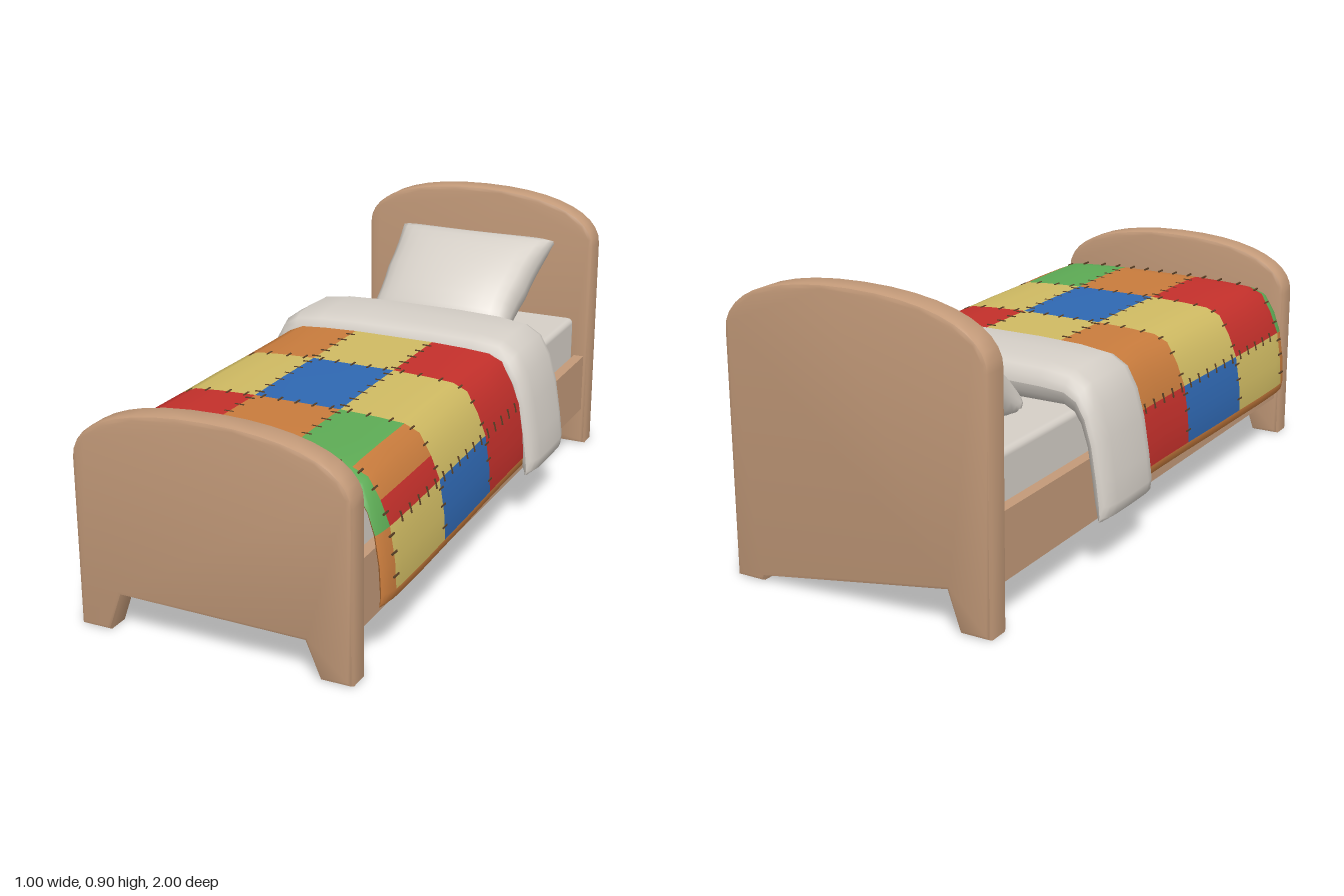
import * as THREE from 'three';
import { mergeVertices, toCreasedNormals } from 'three/addons/utils/BufferGeometryUtils.js';
import { RoundedBoxGeometry } from 'three/addons/geometries/RoundedBoxGeometry.js';

const mat = (name, color) => Object.assign(new THREE.MeshStandardMaterial({ color }), { name });

// Profile halves, centre to hem: [outerX, outerY, innerX, innerY]
const QUILT = [
  [0.135, 0.562, 0.135, 0.475], [0.25, 0.558, 0.25, 0.475], [0.33, 0.552, 0.33, 0.472],
  [0.375, 0.532, 0.36, 0.47], [0.41, 0.47, 0.385, 0.44], [0.437, 0.4, 0.4, 0.38],
  [0.452, 0.3, 0.412, 0.3], [0.456, 0.22, 0.416, 0.23], [0.448, 0.19, 0.42, 0.205], [0.435, 0.18, 0.425, 0.19],
];
const FOLD = [
  [0.13, 0.602, 0.13, 0.475], [0.27, 0.597, 0.27, 0.475], [0.36, 0.585, 0.34, 0.475],
  [0.41, 0.555, 0.37, 0.46], [0.445, 0.49, 0.39, 0.43], [0.47, 0.4, 0.41, 0.37], [0.488, 0.29, 0.425, 0.28],
  [0.498, 0.21, 0.435, 0.21], [0.492, 0.175, 0.445, 0.18], [0.47, 0.16, 0.46, 0.165],
];
const flare = (z) => 1 + 0.035 * THREE.MathUtils.smoothstep(z, -0.2, 0.8);
const mirrored = (half) => [...half.slice().reverse().map(([a, b, c, d]) => [-a, b, -c, d]), ...half];

// Cloth draped over the bed: rings of outer + inner profile; t = 0.5 closes an end
function drape(half, stations, pickMaterial, count, widen) {
  const full = mirrored(half), n = full.length, m = 2 * n;
  const pos = [], lists = Array.from({ length: count }, () => []);
  for (const [z, t] of stations) {
    const w = widen(z);
    const put = ([ox, oy, ix, iy], k) =>
      pos.push(w * THREE.MathUtils.lerp(ox, ix, k), THREE.MathUtils.lerp(oy, iy, k), z);
    full.forEach((p) => put(p, t));
    full.slice().reverse().forEach((p) => put(p, 1 - t));
  }
  for (let r = 0; r < stations.length - 1; r++) {
    for (let j = 0; j < m; j++) {
      const k = (j + 1) % m;
      const a = r * m + j, b = r * m + k, c = b + m, d = a + m;
      const mid = (axis) => (pos[a * 3 + axis] + pos[b * 3 + axis] + pos[c * 3 + axis] + pos[d * 3 + axis]) / 4;
      lists[pickMaterial(mid(0), mid(1), mid(2), j >= n - 1)].push(a, d, c, a, c, b);
    }
  }
  const g = new THREE.BufferGeometry();
  g.setAttribute('position', new THREE.Float32BufferAttribute(pos, 3));
  g.setIndex(lists.flat());
  let start = 0;
  lists.forEach((l, i) => { g.addGroup(start, l.length, i); start += l.length; });
  g.computeVertexNormals();
  return g;
}

// Patch colours: 0 red, 1 blue, 2 yellow, 3 orange, 4 green
const PATCHES = [[3, 2, 0], [2, 1, 2], [0, 3, 4]];
function patchAt(x, y, z, inner) {
  if (inner || y < 0.215) return 3;
  if (z > 0.82) return y > 0.38 ? 4 : 3;
  const row = z < 0.11 ? 0 : z < 0.48 ? 1 : 2;
  if (y < 0.4) return [0, 1, 2][row];
  if (row === 2 && x > 0.36) return y > 0.47 ? 3 : 0;
  return PATCHES[row][x < -0.135 ? 0 : x < 0.135 ? 1 : 2];
}

// Arched end board with tapered feet
function board(height, notch) {
  const s = new THREE.Shape();
  s.moveTo(0.425, 0);
  s.lineTo(0.425, height - 0.17);
  s.bezierCurveTo(0.425, height - 0.08, 0.3, height, 0, height);
  s.bezierCurveTo(-0.3, height, -0.425, height - 0.08, -0.425, height - 0.17);
  s.lineTo(-0.425, 0);
  notch.forEach(([x, y]) => s.lineTo(x, y));
  const b = 0.012;
  const g = new THREE.ExtrudeGeometry(s, {
    depth: 0.085 - 2 * b, bevelThickness: b, bevelSize: b, bevelOffset: -b, bevelSegments: 2, curveSegments: 10,
  });
  g.translate(0, 0, b - 0.0425);
  return toCreasedNormals(g, 0.6);
}

// Cushion: a flat box puffed in the middle with pulled-out corners
function pillowGeometry() {
  const box = new THREE.BoxGeometry(2, 2, 2, 14, 1, 12);
  box.deleteAttribute('uv');
  box.deleteAttribute('normal');
  const g = mergeVertices(box), p = g.attributes.position;
  for (let i = 0; i < p.count; i++) {
    const u = Math.sin(p.getX(i) * Math.PI / 2), v = Math.sin(p.getZ(i) * Math.PI / 2);
    const puff = 0.008 + 0.1 * Math.pow(Math.max(0, (1 - u * u) * (1 - v * v)), 0.36);
    const width = 0.285 - 0.03 * (1 - v * v) - 0.035 * Math.max(0, v);
    const length = 0.235 - 0.02 * (1 - u * u) * (v < 0 ? 1 : 0) - 0.03 * u * u * (v > 0 ? 1 : 0);
    p.setXYZ(i, u * width, Math.sign(p.getY(i)) * puff, v * length);
  }
  g.computeVertexNormals();
  return g;
}

export function createModel() {
  const model = new THREE.Group();
  model.name = 'bed';
  const wood = mat('wood', 0xc39a79), linen = mat('linen', 0xd5cfc7), thread = mat('thread', 0x5a4026);
  const cloth = [mat('red', 0xc4302b), mat('blue', 0x2f68b2), mat('yellow', 0xd0bb63),
    mat('orange', 0xc97c3d), mat('green', 0x5dab55)];
  const add = (name, geometry, material, x = 0, y = 0, z = 0, parent = model) => {
    const mesh = new THREE.Mesh(geometry, material);
    mesh.name = name;
    mesh.position.set(x, y, z);
    parent.add(mesh);
    return mesh;
  };

  // Wooden frame
  add('headboard', board(0.9, [[-0.33, 0], [-0.29, 0.115], [0.33, 0.015], [0.335, 0]]), wood, 0, 0, -0.9575);
  add('footboard', board(0.68, [[-0.33, 0], [-0.29, 0.115], [0.285, 0.107], [0.33, 0]]), wood, 0, 0, 0.9575);
  for (const s of [1, -1]) {
    add(s > 0 ? 'leftRail' : 'rightRail', new THREE.BoxGeometry(0.035, 0.2, 1.84), wood, s * 0.3925, 0.23, 0);
  }
  add('bedBase', new THREE.BoxGeometry(0.76, 0.15, 1.84), wood, 0, 0.206, 0);

  // Bedding
  add('mattress', new RoundedBoxGeometry(0.74, 0.2, 1.83, 2, 0.02), linen, 0, 0.37, 0);
  add('pillow', pillowGeometry(), linen, 0, 0.603, -0.715).rotation.x = 0.58;
  add('foldedSheet', drape(FOLD, [[-0.487, 0.5], [-0.482, 0.3], [-0.465, 0.12], [-0.43, 0], [-0.335, -0.02],
    [-0.24, 0], [-0.205, 0.12], [-0.19, 0.3], [-0.185, 0.5]], () => 0, 1, () => 1), [linen]);
  add('patchworkQuilt', drape(QUILT, [[-0.26, 0], [-0.05, 0], [0.11, 0], [0.3, -0.02], [0.48, 0], [0.65, -0.02],
    [0.78, 0], [0.82, 0.04], [0.85, 0.16], [0.868, 0.32], [0.876, 0.5]], patchAt, cloth.length, flare), cloth);

  // Stitches across the seams
  const stitches = new THREE.Group();
  stitches.name = 'stitches';
  model.add(stitches);
  const stitchGeometry = new THREE.BoxGeometry(0.03, 0.005, 0.005);
  const full = mirrored(QUILT), mid = QUILT.length;
  const stitch = (a, b, f, z, alongZ) => {
    const w = flare(z), angle = Math.atan2(b[1] - a[1], (b[0] - a[0]) * w);
    const m = add('stitch', stitchGeometry, thread, w * (a[0] + (b[0] - a[0]) * f), a[1] + (b[1] - a[1]) * f, z, stitches);
    m.rotation.set(0, alongZ ? Math.PI / 2 : 0, angle, 'ZYX');
  };
  // Lengthwise seams: two on top and one along each side
  for (const i of [mid - 1, mid, mid - 6, mid + 5]) {
    const centre = [(full[i - 1][0] + full[i + 1][0]) / 2, (full[i - 1][1] + full[i + 1][1]) / 2];
    const dx = full[i][0] - centre[0], dy = full[i][1] - centre[1];
    const shift = (q) => [q[0] + dx, q[1] + dy];
    for (let z = -0.15; z < 0.81; z += 0.06) stitch(shift(full[i - 1]), shift(full[i + 1]), 0.5, z, false);
  }
  // Crosswise seams, down to the hem
  for (const z of [0.11, 0.48, 0.82]) {
    for (let i = 2; i < full.length - 3; i++) {
      const a = full[i], b = full[i + 1];
      const steps = Math.max(1, Math.round(Math.hypot(b[0] - a[0], b[1] - a[1]) / 0.055));
      for (let k = 0; k < steps; k++) stitch(a, b, (k + 0.5) / steps, z, true);
    }
  }
  return model;
}
